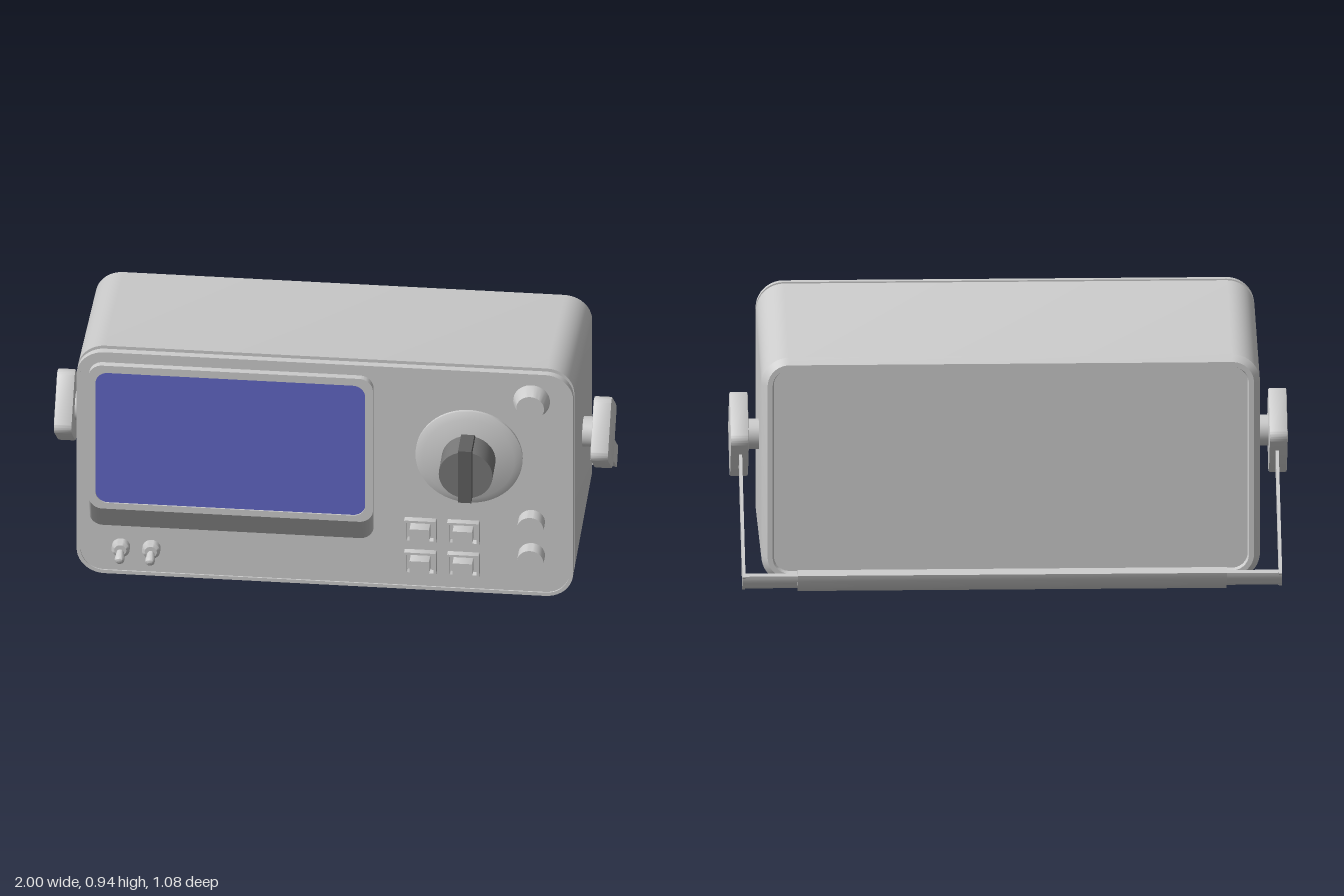
import * as THREE from 'three';
import { toCreasedNormals } from 'three/addons/utils/BufferGeometryUtils.js';

const material = (color) => new THREE.MeshStandardMaterial({ color, side: THREE.DoubleSide });
const grey = material(0xcccccc);
const dark = material(0x777777);
const blue = material(0x6166c6);

function add(parent, name, geometry, mat = grey, x = 0, y = 0, z = 0) {
  const mesh = new THREE.Mesh(geometry, mat);
  mesh.name = name;
  mesh.position.set(x, y, z);
  parent.add(mesh);
  return mesh;
}

// Rounded rectangle, as a shape or a path, counter-clockwise
function roundRect(x0, y0, x1, y1, r, Type = THREE.Shape) {
  const s = new Type();
  s.absarc(x1 - r, y0 + r, r, -Math.PI / 2, 0);
  s.absarc(x1 - r, y1 - r, r, 0, Math.PI / 2);
  s.absarc(x0 + r, y1 - r, r, Math.PI / 2, Math.PI);
  s.absarc(x0 + r, y0 + r, r, Math.PI, Math.PI * 1.5);
  s.closePath();
  return s;
}

function extrude(shape, depth, bevel = 0) {
  const g = new THREE.ExtrudeGeometry(shape, {
    depth, curveSegments: 8, bevelEnabled: bevel > 0,
    bevelSize: bevel, bevelThickness: bevel, bevelOffset: -bevel, bevelSegments: 2,
  });
  return toCreasedNormals(g, 0.6);
}

// Round part turned about the z axis from [radius, z] points
function turned(points, segments = 40) {
  const g = new THREE.LatheGeometry(points.map(([r, z]) => new THREE.Vector2(r, z)), segments);
  g.rotateX(Math.PI / 2);
  return toCreasedNormals(g, 0.6);
}

// Case lofted through rounded-rectangle sections: [z, inset, top]
function caseGeometry(sections) {
  const positions = [], index = [], steps = 10, n = 4 * (steps + 1);
  for (const [z, inset, top] of sections) {
    const r = 0.1 - inset, x = 0.895 - inset - r;
    const low = 0.01 + inset + r, high = top - inset - r;
    for (let c = 0; c < 4; c++) {
      for (let i = 0; i <= steps; i++) {
        const a = (c - 1 + i / steps) * Math.PI / 2;
        positions.push((c < 2 ? x : -x) + r * Math.cos(a),
          (c === 1 || c === 2 ? high : low) + r * Math.sin(a), z);
      }
    }
  }
  const last = sections.length - 1;
  for (let s = 0; s < last; s++) {
    for (let j = 0; j < n; j++) {
      const a = s * n + j, b = s * n + (j + 1) % n;
      index.push(a, b, b + n, a, b + n, a + n);
    }
  }
  const backCentre = positions.length / 3;
  positions.push(0, 0.43, sections[0][0], 0, 0.48, sections[last][0]);
  for (let j = 0; j < n; j++) {
    const k = (j + 1) % n;
    index.push(backCentre, k, j, backCentre + 1, last * n + j, last * n + k);
  }
  const g = new THREE.BufferGeometry();
  g.setAttribute('position', new THREE.Float32BufferAttribute(positions, 3));
  g.setIndex(index);
  return toCreasedNormals(g, 0.5);
}

export function createModel() {
  const model = new THREE.Group();
  model.name = 'benchInstrument';

  // Case: recessed back, sloping top, groove, front panel with thin rim
  add(model, 'case', caseGeometry([
    [-0.33, 0.045, 0.845], [-0.35, 0.04, 0.845], [-0.35, 0.022, 0.845], [-0.325, 0, 0.845],
    [0.335, 0, 0.945], [0.335, 0.018, 0.945], [0.355, 0.018, 0.945], [0.355, 0, 0.945],
    [0.38, 0, 0.945], [0.38, 0.014, 0.945], [0.375, 0.014, 0.945],
  ]));

  // Screen surround, its lower edge sloping back to the panel
  const surround = extrude(roundRect(-0.85, 0.295, 0.175, 0.9, 0.05), 0.017);
  const p = surround.attributes.position;
  for (let i = 0; i < p.count; i++) {
    if (p.getZ(i) < 0.01 && p.getY(i) < 0.5) p.setY(i, p.getY(i) - 0.095);
  }
  add(model, 'screenSurround', surround, grey, 0, 0, 0.373);
  const frame = roundRect(-0.85, 0.295, 0.175, 0.9, 0.05);
  frame.holes.push(roundRect(-0.825, 0.32, 0.147, 0.87, 0.045, THREE.Path));
  add(model, 'screenFrame', extrude(frame, 0.009), grey, 0, 0, 0.39);
  add(model, 'screen', extrude(roundRect(-0.825, 0.32, 0.147, 0.87, 0.045), 0.004), blue, 0, 0, 0.39);

  // Main dial with a pointer bar
  const dial = new THREE.Group();
  dial.name = 'dial';
  dial.position.set(0.52, 0.585, 0);
  model.add(dial);
  add(dial, 'dialDisc', turned([[0.193, 0.37], [0.193, 0.385], [0.165, 0.398], [0, 0.398]], 56));
  add(dial, 'dialKnob', turned([[0.097, 0.39], [0.097, 0.51], [0, 0.51]]), dark);
  const pointer = new THREE.Shape([[-0.39, -0.095], [-0.39, 0.09], [-0.43, 0.122], [-0.545, 0.122], [-0.545, -0.095]]
    .map(([x, y]) => new THREE.Vector2(x, y)));
  const bar = extrude(pointer, 0.048);
  bar.rotateY(Math.PI / 2);
  add(dial, 'dialPointer', bar, material(0x606060), -0.024);

  // Tapered knob and two straight knobs
  add(model, 'upperKnob', turned([[0.066, 0.37], [0.066, 0.382], [0.05, 0.43], [0, 0.43]]), grey, 0.745, 0.83);
  for (const y of [0.32, 0.18]) {
    add(model, 'smallKnob', turned([[0.048, 0.37], [0.048, 0.43], [0, 0.43]]), grey, 0.745, y);
  }

  // Push buttons in frames
  for (const x of [0.345, 0.5]) {
    for (const y of [0.265, 0.13]) {
      const rim = roundRect(-0.058, -0.046, 0.058, 0.046, 0.004);
      rim.holes.push(roundRect(-0.049, -0.037, 0.049, 0.037, 0.003, THREE.Path));
      add(model, 'buttonFrame', extrude(rim, 0.028), grey, x, y, 0.372);
      add(model, 'button', extrude(roundRect(-0.036, -0.024, 0.036, 0.024, 0.003), 0.05), grey, x, y, 0.372);
    }
  }

  // Toggle switches, levers down
  for (const x of [-0.735, -0.625]) {
    add(model, 'switchCollar', turned([[0.033, 0.37], [0.033, 0.397], [0.022, 0.405], [0, 0.405]], 24), grey, x, 0.125);
    const lever = add(model, 'switchLever',
      turned([[0.011, 0], [0.018, 0.042], [0.016, 0.052], [0.009, 0.058], [0, 0.06]], 20), grey, x, 0.122, 0.392);
    lever.rotation.x = 0.42;
  }

  // Carrying handle, swung down behind the case
  const handle = new THREE.Group();
  handle.name = 'handle';
  handle.position.y = 0.477;
  handle.rotation.x = -0.69;
  model.add(handle);
  for (const side of [1, -1]) {
    const boss = new THREE.CylinderGeometry(0.055, 0.055, 0.06, 32);
    boss.rotateZ(Math.PI / 2);
    add(handle, 'pivotBoss', boss, grey, side * 0.915);
    const pad = extrude(roundRect(-0.118, -0.118, 0.118, 0.118, 0.035), 0.054, 0.006);
    pad.rotateY(Math.PI / 2);
    add(handle, 'pivotPad', pad, grey, side * 0.967 - 0.027);
    add(handle, 'handleArm', new THREE.BoxGeometry(0.011, 0.076, 0.57), grey, side * 0.963, 0, -0.375);
  }

  // Cross bar: flat inside, gently domed outside
  const barSection = (w, inner, outer) => {
    const s = new THREE.Shape();
    s.moveTo(inner, -w);
    s.lineTo(outer - 0.012, -w);
    s.quadraticCurveTo(outer + 0.012, 0, outer - 0.012, w);
    s.lineTo(inner, w);
    s.closePath();
    return s;
  };
  const crossBar = extrude(barSection(0.036, 0.642, 0.668), 1.936);
  crossBar.rotateY(Math.PI / 2);
  add(handle, 'crossBar', crossBar, grey, -0.968);
  const grip = extrude(barSection(0.046, 0.636, 0.674), 1.54);
  grip.rotateY(Math.PI / 2);
  add(handle, 'grip', grip, grey, -0.77);

  return model;
}
